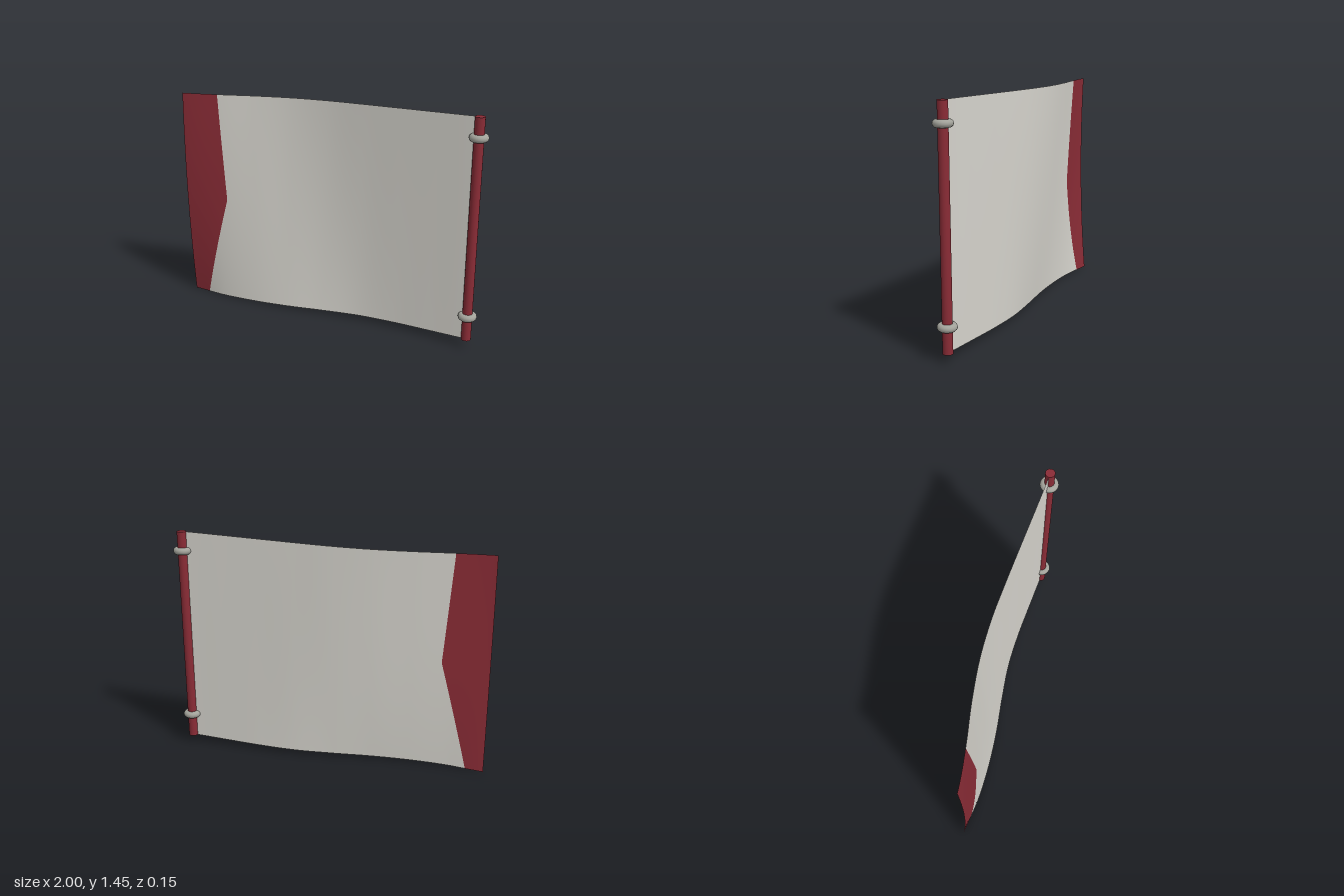
import * as THREE from 'three';

const clothMat = new THREE.MeshStandardMaterial({ name: 'paleCloth', color: 0xd6d4cd, side: THREE.DoubleSide });
const redMat = new THREE.MeshStandardMaterial({ name: 'darkRed', color: 0x8a2c36 });
const redClothMat = redMat;
redClothMat.side = THREE.DoubleSide;
const ringMat = new THREE.MeshStandardMaterial({ name: 'greyMetal', color: 0xa3a39b });

const LEFT = -1, POLE_X = 0.94, POLE_Z = -0.02, HEIGHT = 1.395;

// Depth of the rippling cloth along its bottom, middle and top, evenly spaced in x
const ripple = [
  [0.035, 0.057, 0.053, 0.03, -0.007, -0.037, -0.041, -0.031, -0.02],
  [0.073, 0.055, 0.02, -0.02, -0.047, -0.053, -0.044, -0.032, -0.02],
  [0.065, 0.03, -0.018, -0.053, -0.064, -0.056, -0.044, -0.031, -0.02],
].map(zs => new THREE.SplineCurve(zs.map((z, i) => new THREE.Vector2(i, z))));

function clothPoint(x, v) {
  const t = THREE.MathUtils.clamp((x - LEFT) / (POLE_X - LEFT), 0, 1);
  const [b, m, a] = ripple.map(c => c.getPoint(t).y);
  const z = b * (1 - v) * (1 - 2 * v) + m * 4 * v * (1 - v) + a * v * (2 * v - 1);
  return [x, 0.05 * t + HEIGHT * v, z];
}

// Pointed border between the red band and the pale field
const border = v => v < 0.5
  ? THREE.MathUtils.lerp(-0.885, -0.705, v * 2)
  : THREE.MathUtils.lerp(-0.705, -0.76, v * 2 - 1);

// Sheet of cloth between two edges x0(v) and x1(v)
function clothPanel(name, x0, x1, cols, material) {
  const geo = new THREE.PlaneGeometry(1, 1, cols, 24);
  const pos = geo.attributes.position;
  const normal = geo.attributes.normal;
  const e = 0.004;
  for (let i = 0; i < pos.count; i++) {
    const v = pos.getY(i) + 0.5;
    const x = THREE.MathUtils.lerp(x0(v), x1(v), pos.getX(i) + 0.5);
    pos.setXYZ(i, ...clothPoint(x, v));
    // normals from the surface itself, so shading runs on across the border
    const dx = new THREE.Vector3(...clothPoint(x + e, v)).sub(new THREE.Vector3(...clothPoint(x - e, v)));
    const dy = new THREE.Vector3(...clothPoint(x, v + e)).sub(new THREE.Vector3(...clothPoint(x, v - e)));
    const n = dx.cross(dy).normalize();
    normal.setXYZ(i, n.x, n.y, n.z);
  }
  const mesh = new THREE.Mesh(geo, material);
  mesh.name = name;
  return mesh;
}

export function createModel() {
  const group = new THREE.Group();
  group.name = 'flag';

  // Cloth
  group.add(clothPanel('clothBand', () => LEFT, border, 8, redClothMat));
  group.add(clothPanel('clothField', border, () => POLE_X, 48, clothMat));

  // Pole
  const pole = new THREE.Mesh(new THREE.CylinderGeometry(0.03, 0.03, HEIGHT, 16), redMat);
  pole.name = 'pole';
  pole.position.set(POLE_X, 0.05 + HEIGHT / 2, POLE_Z);
  group.add(pole);

  // Rings round the pole
  for (const [name, y] of [['upperRing', 1.323], ['lowerRing', 0.206]]) {
    const ring = new THREE.Mesh(new THREE.TorusGeometry(0.035, 0.0225, 12, 24), ringMat);
    ring.name = name;
    ring.rotation.x = Math.PI / 2;
    ring.position.set(POLE_X, y, POLE_Z);
    group.add(ring);
  }
  return group;
}
